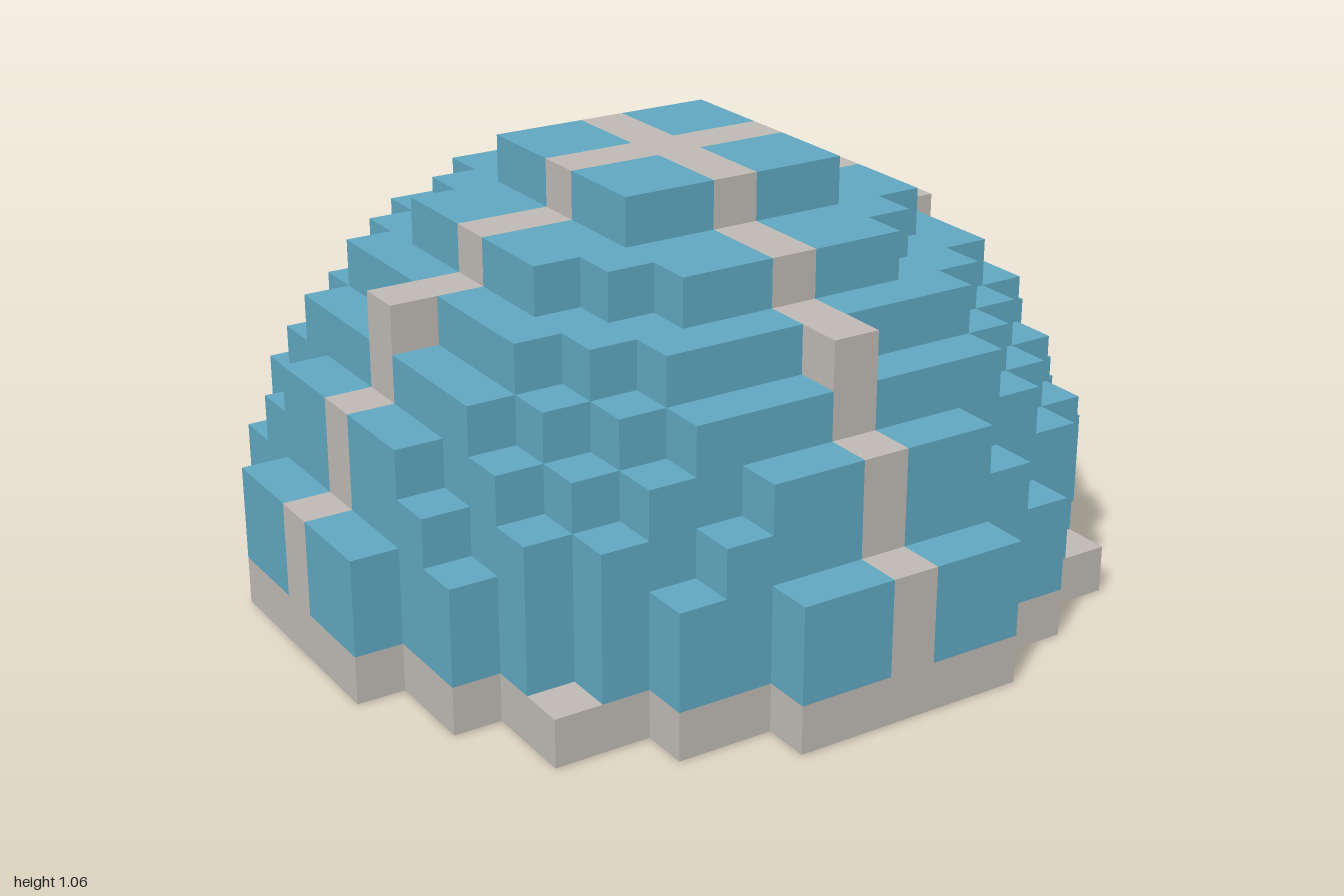
import * as THREE from 'three';
import { mergeGeometries } from 'three/addons/utils/BufferGeometryUtils.js';

const N = 8;                 // dome radius in blocks, around a centre block
const S = 2 / (2 * N + 1);   // block size
const R2 = (N + 0.5) ** 2;

// a block belongs to the dome when its centre lies in the sphere
const inBall = (x, y, z) => x * x + y * y + z * z <= R2;
const inDome = (x, y, z) => y >= 0 && inBall(x, y, z);

// outward face templates, one per direction
const face = (dx, dy, dz) => {
  const g = new THREE.PlaneGeometry(S, S);
  if (dy) g.rotateX(-dy * Math.PI / 2);
  else if (dx) g.rotateY(dx * Math.PI / 2);
  else if (dz < 0) g.rotateY(Math.PI);
  g.translate(dx * S / 2, dy * S / 2, dz * S / 2);
  return { d: [dx, dy, dz], g };
};
const FACES = [face(1, 0, 0), face(-1, 0, 0), face(0, 1, 0), face(0, -1, 0), face(0, 0, 1), face(0, 0, -1)];

// a block is buried when all its neighbours in the full ball exist
const buried = (x, y, z) => FACES.every(({ d }) => inBall(x + d[0], y + d[1], z + d[2]));

function partOf(x, y, z) {
  if (y === 0) return buried(x, y, z) ? 'floor' : 'baseRing';
  return x === 0 || z === 0 ? 'ribs' : 'domePanels';
}

export function createModel() {
  const blue = new THREE.MeshStandardMaterial({ color: 0x60a7c1 });
  blue.name = 'blue';
  const paleGrey = new THREE.MeshStandardMaterial({ color: 0xbeb9b4 });
  paleGrey.name = 'pale grey';
  const darkGrey = new THREE.MeshStandardMaterial({ color: 0x8b8b8b });
  darkGrey.name = 'dark grey';
  const materials = { domePanels: blue, ribs: paleGrey, baseRing: paleGrey, floor: darkGrey };
  const parts = { domePanels: [], ribs: [], baseRing: [], floor: [] };

  // exposed block faces, sorted by part
  for (let x = -N; x <= N; x++)
    for (let y = 0; y <= N; y++)
      for (let z = -N; z <= N; z++) {
        if (!inDome(x, y, z)) continue;
        for (const { d, g } of FACES) {
          if (inDome(x + d[0], y + d[1], z + d[2])) continue;
          parts[partOf(x, y, z)].push(g.clone().translate(x * S, (y + 0.5) * S, z * S));
        }
      }

  const model = new THREE.Group();
  model.name = 'blockDome';
  for (const name in parts) {
    const mesh = new THREE.Mesh(mergeGeometries(parts[name]), materials[name]);
    mesh.name = name;
    model.add(mesh);
  }

  // four pale spots on the underside
  for (const [x, z] of [[4, 0], [-4, 0], [0, 4], [0, -4]]) {
    const spot = new THREE.Mesh(new THREE.CircleGeometry(S * 0.5, 8), paleGrey);
    spot.rotation.x = Math.PI / 2;
    spot.position.set(x * S, -0.002, z * S);
    spot.name = 'floorSpot';
    model.add(spot);
  }
  return model;
}
